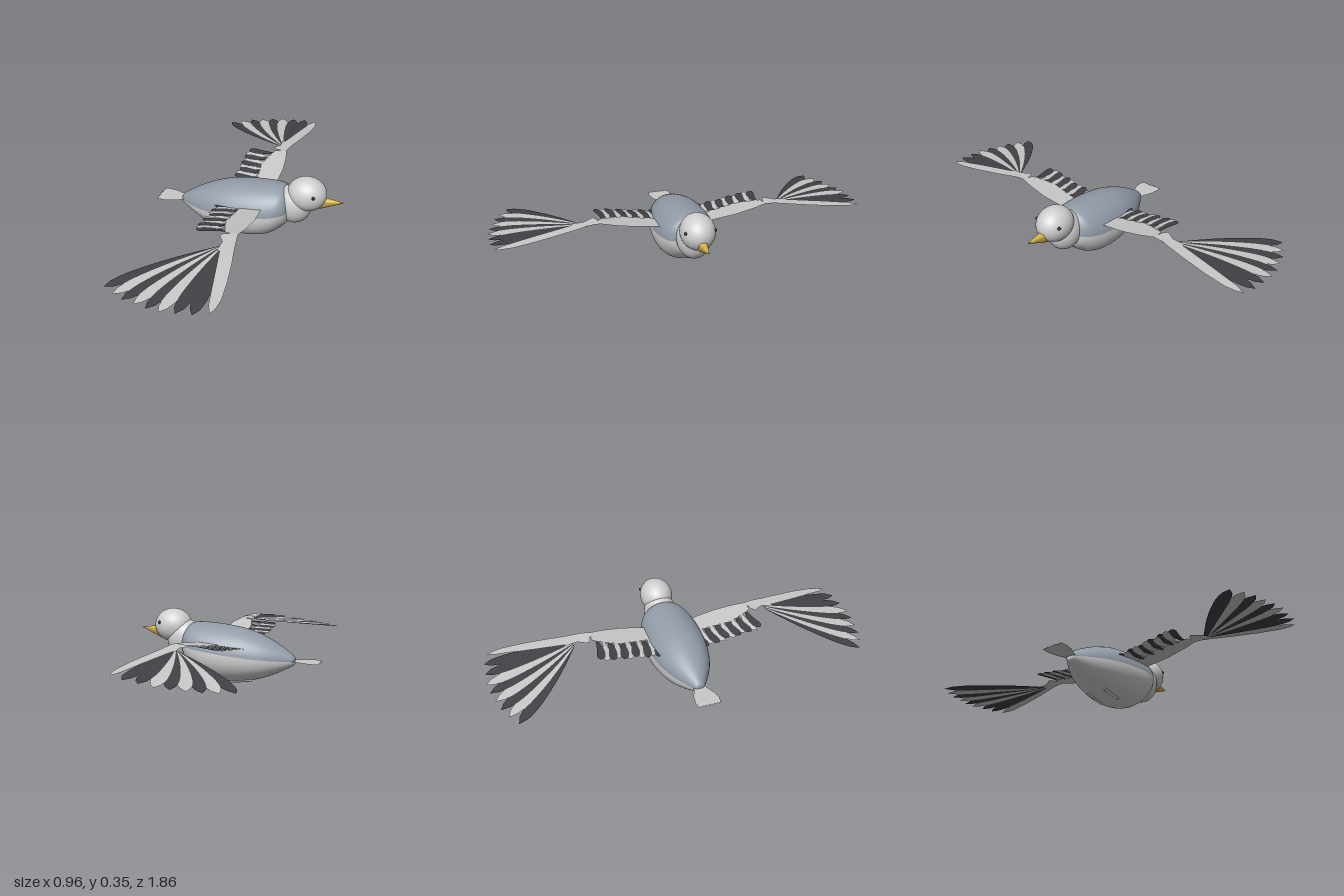
import * as THREE from 'three';

const mat = (name, color, side = THREE.FrontSide) => {
  const m = new THREE.MeshStandardMaterial({ color, side });
  m.name = name;
  return m;
};

export function createModel() {
  const bird = new THREE.Group();
  bird.name = 'bird';
  const plumage = mat('pale grey plumage', 0xcfcfcf);
  const mantleGrey = mat('blue grey', 0x929ba8);
  const palefeather = mat('pale feather', 0xc8c8c8, THREE.DoubleSide);
  const darkFeather = mat('dark feather', 0x414146, THREE.DoubleSide);
  const horn = mat('yellow horn', 0xcfb048);
  const black = mat('eye black', 0x222226);

  const add = (parent, name, geometry, material, x = 0, y = 0, z = 0) => {
    const mesh = new THREE.Mesh(geometry, material);
    mesh.name = name;
    mesh.position.set(x, y, z);
    parent.add(mesh);
    return mesh;
  };

  // Surface from a function of two grid indices, normals smooth
  const gridSurface = (rows, cols, fn) => {
    const pos = [], idx = [];
    for (let i = 0; i <= rows; i++) {
      for (let j = 0; j <= cols; j++) {
        pos.push(...fn(i / rows, j / cols));
        if (i < rows && j < cols) {
          const a = i * (cols + 1) + j, b = a + cols + 1;
          idx.push(a, b, a + 1, b, b + 1, a + 1);
        }
      }
    }
    const g = new THREE.BufferGeometry();
    g.setAttribute('position', new THREE.Float32BufferAttribute(pos, 3));
    g.setIndex(idx);
    g.computeVertexNormals();
    return g;
  };

  // Body sections: x, top, bottom, half width
  const sections = [
    [-0.333, 0.128, 0.127, 0.001], [-0.33, 0.146, 0.11, 0.018], [-0.3, 0.17, 0.09, 0.042], [-0.2, 0.226, 0.042, 0.101],
    [-0.1, 0.263, 0.013, 0.133], [0, 0.281, 0.002, 0.146], [0.1, 0.289, 0.015, 0.144],
    [0.16, 0.29, 0.042, 0.132], [0.2, 0.284, 0.076, 0.113], [0.225, 0.262, 0.102, 0.088],
    [0.24, 0.22, 0.14, 0.045], [0.242, 0.181, 0.179, 0.001],
  ];
  const outline = new THREE.CatmullRomCurve3(sections.map(s => new THREE.Vector3(s[0], s[1], s[2])));
  const girth = new THREE.CatmullRomCurve3(sections.map(s => new THREE.Vector3(s[0], s[3], 0)));
  const bodyPart = upper => gridSurface(66, 36, (u, v) => {
    const o = outline.getPoint(u), w = girth.getPoint(u).y;
    const cy = (o.y + o.z) / 2, ry = (o.y - o.z) / 2;
    const line = 0.125 + 0.1 * (o.x + 0.33);
    const a0 = Math.asin(THREE.MathUtils.clamp((line - cy) / ry, -0.9, 0.9));
    const a = upper ? a0 + v * (Math.PI - 2 * a0) : Math.PI - a0 + v * (Math.PI + 2 * a0);
    return [o.x, cy + ry * Math.sin(a), w * Math.cos(a)];
  });
  add(bird, 'mantle', bodyPart(true), mantleGrey);
  add(bird, 'belly', bodyPart(false), plumage);

  // Neck and head
  const ball = new THREE.SphereGeometry(1, 40, 28);
  add(bird, 'neck', ball, plumage, 0.25, 0.201, 0).scale.set(0.09, 0.1, 0.081);
  add(bird, 'head', ball, plumage, 0.311, 0.265, 0).scale.set(0.097, 0.085, 0.082);

  // Beak: two half cones meeting at the mouth line
  const mandible = (name, height, start) => {
    const g = new THREE.ConeGeometry(1, 0.12, 20, 1, false, start, Math.PI);
    g.rotateZ(-Math.PI / 2);
    g.scale(1, height, 0.026);
    const m = add(bird, name, g, horn, 0.435, 0.242, 0);
    m.rotation.z = 0.04;
  };
  mandible('upperBeak', 0.046, 0);
  mandible('lowerBeak', 0.02, Math.PI);

  // Flat shape drawn in x and z, lifted by a height rule
  const plate = (points, height, side = 1) => {
    const g = new THREE.ShapeGeometry(new THREE.Shape(points.map(p => new THREE.Vector2(...p))));
    const p = g.attributes.position;
    for (let i = 0; i < p.count; i++) {
      const x = p.getX(i), z = p.getY(i);
      p.setXYZ(i, x, height(x, z), z * side);
    }
    if (side > 0) {
      const a = g.index.array;
      for (let i = 0; i < a.length; i += 3) [a[i], a[i + 1]] = [a[i + 1], a[i]];
    }
    g.computeVertexNormals();
    return g;
  };

  // Tail fan with a notched end
  const tail = [[-0.29, -0.025], [-0.33, -0.03], [-0.38, -0.05], [-0.42, -0.057], [-0.46, -0.055]];
  for (let i = 0; i < 8; i++) {
    const z = -0.055 + (i + 1) * 0.01375;
    tail.push([-0.452, z - 0.003], [-0.461, z]);
  }
  tail.push([-0.42, 0.059], [-0.38, 0.052], [-0.33, 0.03], [-0.29, 0.025]);
  add(bird, 'tail', plate(tail.reverse(), () => 0.129), palefeather);

  // Wing height: rises to the wrist, falls to the tip, droops rearward
  const wingY = (x, z) =>
    (z < 0.43 ? 0.21 + (z - 0.14) * 0.155 : 0.255 - (z - 0.43) * 0.095) - 0.08 * Math.max(0, 0.1 - x);

  // Curved feather with a pointed tip
  const feather = (base, bend, tip, width, lift, side) => {
    const curve = new THREE.QuadraticBezierCurve(
      new THREE.Vector2(...base), new THREE.Vector2(...bend), new THREE.Vector2(...tip));
    return gridSurface(14, 2, (u, v) => {
      const c = curve.getPoint(u), t = curve.getTangent(u);
      const taper = u < 0.75 ? 0.3 + 0.7 * Math.sin(u / 0.75 * Math.PI / 2) : Math.sqrt(Math.max(0, 1 - ((u - 0.75) / 0.25) ** 1.7));
      const w = width * taper * (v - 0.5);
      const x = c.x - t.y * w, z = c.y + t.x * w;
      return [x, wingY(x, z) + lift, z * side];
    });
  };

  // Primary feathers from rear to front: tip x, tip z, dark or pale
  const primaries = [
    [-0.35, 0.83, 1], [-0.295, 0.865, 0], [-0.24, 0.89, 1], [-0.18, 0.905, 0], [-0.12, 0.92, 1],
    [-0.06, 0.93, 0], [0.01, 0.925, 1], [0.08, 0.92, 1],
  ];

  for (const side of [1, -1]) {
    const wing = new THREE.Group();
    wing.name = side > 0 ? 'leftWing' : 'rightWing';
    bird.add(wing);

    // Inner wing and wrist
    const arm = [[0.11, 0.06], [0.12, 0.15], [0.125, 0.25], [0.115, 0.35], [0.1, 0.415],
      [0.04, 0.41], [0.02, 0.36], [0, 0.29], [0.01, 0.2], [0.02, 0.06]];
    add(wing, 'innerWing', plate(arm, (x, z) => wingY(x, z) + 0.003, side), palefeather);
    const wrist = [[0.1, 0.405], [0.105, 0.44], [0.115, 0.5], [0.1, 0.55], [0.045, 0.54],
      [0.05, 0.48], [0.02, 0.435], [0.04, 0.42]];
    add(wing, 'wrist', plate(wrist, (x, z) => wingY(x, z) + 0.004, side), palefeather);

    // Short alternating trailing feathers
    for (let i = 0; i < 11; i++) {
      const z = 0.12 + i * 0.028, dark = i % 2 === 0;
      const g = feather([0.035, z - 0.01], [-0.05, z - 0.02], [-0.115 + 0.012 * (i % 3 === 1), z + 0.008],
        dark ? 0.04 : 0.034, dark ? 0.001 : -0.0005, side);
      add(wing, 'secondaryFeather', g, dark ? darkFeather : palefeather);
    }

    // Long fanned flight feathers
    primaries.forEach(([x, z, dark], i) => {
      const base = [0.045 + i * 0.004, 0.505];
      const bend = [(base[0] + x) / 2 - 0.012 * (7 - i) / 7, (base[1] + z) / 2 - 0.012];
      const g = feather(base, bend, [x, z], 0.064, -0.008 + i * 0.001, side);
      add(wing, 'primaryFeather', g, dark ? darkFeather : palefeather);
    });
    const leading = [[0.11, 0.48], [0.135, 0.6], [0.155, 0.72], [0.164, 0.82], [0.158, 0.87], [0.145, 0.9],
      [0.125, 0.86], [0.1, 0.74], [0.075, 0.62], [0.05, 0.5]];
    add(wing, 'leadingFeather', plate(leading, (x, z) => wingY(x, z) + 0.003, side), palefeather);

    // Eye and tucked foot
    add(bird, 'eye', new THREE.SphereGeometry(0.008, 16, 12), black, 0.357, 0.285, side * 0.069);
    const foot = add(bird, 'foot', new THREE.CapsuleGeometry(0.009, 0.095, 4, 10).rotateZ(Math.PI / 2).scale(1, 0.6, 1),
      plumage, -0.075, 0.016, side * 0.05);
    foot.rotation.z = -0.14;
  }
  return bird;
}
